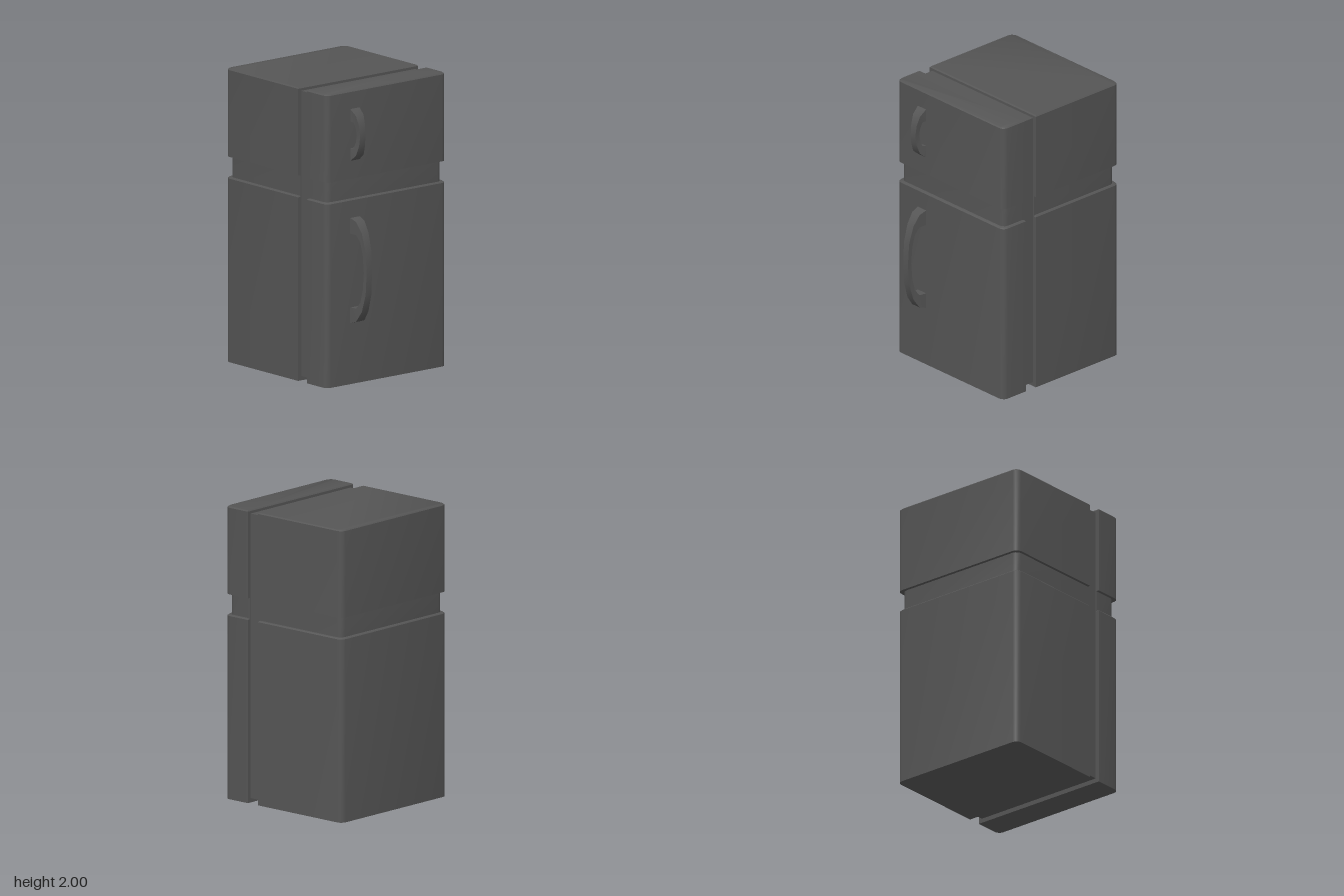
import * as THREE from 'three';
import { toCreasedNormals } from 'three/addons/utils/BufferGeometryUtils.js';

const material = new THREE.MeshStandardMaterial({ color: 0x555555 });

// Skin a stack of equal-sized convex rings of [x, y, z] and close both ends
function loft(rings) {
  const n = rings[0].length, last = (rings.length - 1) * n, index = [];
  for (let r = 0; r < rings.length - 1; r++) {
    for (let i = 0; i < n; i++) {
      const a = r * n + i, b = r * n + (i + 1) % n;
      index.push(a, b, b + n, a, b + n, a + n);
    }
  }
  for (let i = 1; i < n - 1; i++) {
    index.push(0, i + 1, i, last, last + i, last + i + 1);
  }
  const geometry = new THREE.BufferGeometry();
  geometry.setAttribute('position', new THREE.Float32BufferAttribute(rings.flat(2), 3));
  geometry.setIndex(index);
  return toCreasedNormals(geometry, 0.7);
}

// Horizontal outline with two rounded corners, at the front or at the back
function outline(halfWidth, zBack, zFront, frontRounded, y, inset) {
  const radius = 0.04, steps = 3, points = [];
  const w = halfWidth - inset, zb = zBack + inset, zf = zFront - inset;
  const corners = [[1, -1], [-1, -1], [-1, 1], [1, 1]];
  corners.forEach(([sx, sz], c) => {
    if ((sz > 0) !== frontRounded) {
      points.push([sx * w, y, sz > 0 ? zf : zb]);
      return;
    }
    for (let i = 0; i <= steps; i++) {
      const angle = (c + i / steps) * Math.PI / 2;
      points.push([
        sx * (w - radius) + radius * Math.cos(angle), y,
        (sz > 0 ? zf - radius : zb + radius) - radius * Math.sin(angle),
      ]);
    }
  });
  return points;
}

export function createModel() {
  const group = new THREE.Group();
  const add = (name, geometry) => {
    const mesh = new THREE.Mesh(geometry, material);
    mesh.name = name;
    group.add(mesh);
    return mesh;
  };

  // Upright block with a small bevel around its top edge
  const block = (name, halfWidth, zBack, zFront, y0, y1, bevel, frontRounded) => {
    const ring = (y, inset) => outline(halfWidth, zBack, zFront, frontRounded, y, inset);
    const rings = [ring(y0, 0), ring(y1 - bevel, 0)];
    if (bevel) rings.push(ring(y1, bevel));
    add(name, loft(rings));
  };

  // Cabinets and doors, with the recessed neck between the compartments
  const levels = [['lower', 0.52, 0, 1.26, 0.008, 0], ['neck', 0.5, 1.25, 1.41, 0, 0.022], ['upper', 0.52, 1.4, 2, 0.008, 0]];
  for (const [name, w, y0, y1, bevel, recess] of levels) {
    block(name + 'Cabinet', w, -0.597 + recess, 0.155, y0, y1, bevel, false);
    block(name + 'Door', w, 0.245, 0.45 - recess, y0, y1, bevel, true);
  }

  // Recessed seal filling the gap between doors and cabinets
  add('doorSeal', new THREE.BoxGeometry(0.986, 1.945, 0.094)).position.set(0, 1.0025, 0.2);

  // Bowed handles: half profile rows of [outer z, outer y, inner z, inner y, half width]
  const handle = (name, centreY, rows) => {
    const section = ([zo, yo, zi, yi, w], s) => [
      [w, s * yi, zi], [w, s * yo, zo], [-w, s * yo, zo], [-w, s * yi, zi],
    ];
    const rings = rows.map((row) => section(row, 1));
    rings.push(...rows.slice(0, -1).reverse().map((row) => section(row, -1)));
    add(name, loft(rings)).position.set(-0.275, centreY, 0);
  };
  handle('lowerHandle', 0.775, [
    [0.44, 0.362, 0.44, 0.252, 0.042],
    [0.505, 0.34, 0.505, 0.25, 0.036],
    [0.555, 0.268, 0.54, 0.205, 0.029],
    [0.59, 0.148, 0.56, 0.12, 0.025],
    [0.598, 0, 0.569, 0, 0.023],
  ]);
  handle('upperHandle', 1.7, [
    [0.44, 0.185, 0.44, 0.092, 0.042],
    [0.5, 0.135, 0.475, 0.088, 0.033],
    [0.523, 0.07, 0.489, 0.05, 0.026],
    [0.531, 0, 0.496, 0, 0.023],
  ]);

  return group;
}
